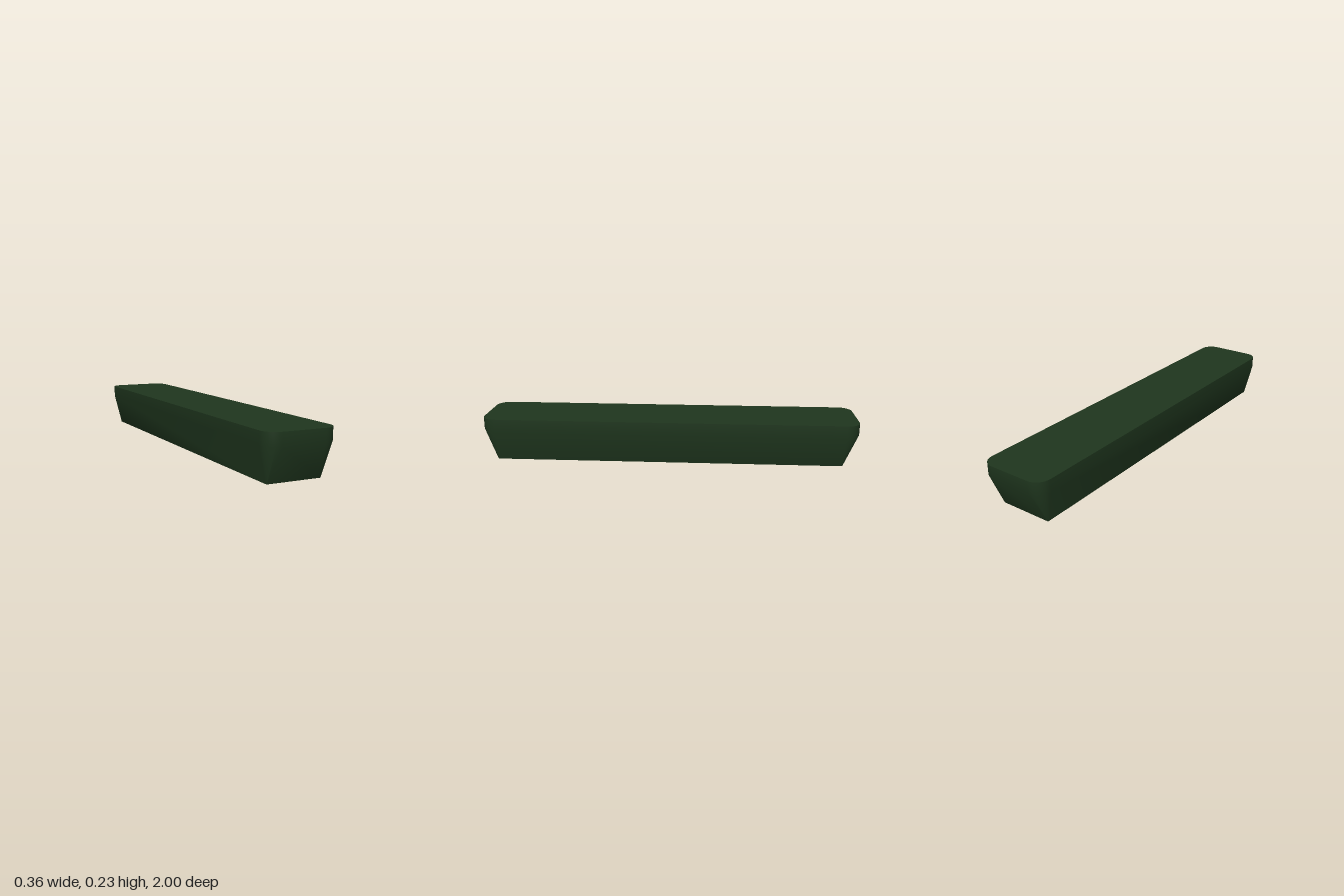
import * as THREE from 'three';
import { toCreasedNormals } from 'three/addons/utils/BufferGeometryUtils.js';

const CORNER_STEPS = 8;

// Rounded rectangle of half sizes hx, hz and corner radius r at height y
function ring(hx, hz, r, y, cx = 0, cz = 0) {
  const points = [];
  [[1, 1], [-1, 1], [-1, -1], [1, -1]].forEach(([sx, sz], corner) => {
    for (let i = 0; i <= CORNER_STEPS; i++) {
      const a = (corner + i / CORNER_STEPS) * Math.PI / 2;
      points.push([cx + sx * (hx - r) + r * Math.cos(a), y, cz + sz * (hz - r) + r * Math.sin(a)]);
    }
  });
  return points;
}

// Skin over a list of rings, capped at the first one
function loft(rings) {
  const n = rings[0].length;
  const positions = rings.flat(2);
  const index = [];
  const centre = positions.length / 3;
  positions.push(0, rings[0][0][1], 0);
  for (let j = 0; j < n; j++) {
    const k = (j + 1) % n;
    index.push(centre, k, j);
    for (let i = 0; i < rings.length - 1; i++) {
      const a = i * n + j, b = i * n + k;
      index.push(a, b, a + n, b, b + n, a + n);
    }
  }
  const geometry = new THREE.BufferGeometry();
  geometry.setAttribute('position', new THREE.Float32BufferAttribute(positions, 3));
  geometry.setIndex(index);
  return toCreasedNormals(geometry, Math.PI / 4);
}

export function createModel() {
  const group = new THREE.Group();
  group.name = 'ribbedBlock';
  const material = new THREE.MeshStandardMaterial({ color: 0x1f361e });
  const cx = -0.003, cz = 0.005;

  // Body: upright rim, tapered sides, thin lip and shallow recess underneath
  const body = new THREE.Mesh(loft([
    ring(0.18, 1, 0.07, 0.235),
    ring(0.18, 1, 0.07, 0.173),
    ring(0.139, 0.928, 0.003, 0, cx, cz),
    ring(0.135, 0.924, 0.002, 0, cx, cz),
    ring(0.135, 0.924, 0.002, 0.05, cx, cz),
  ]), material);
  body.name = 'body';
  group.add(body);

  // Sawtooth ribs across the recess
  const teeth = 21, half = 0.924, width = 0.27, step = 2 * half / teeth;
  const profile = new THREE.Shape();
  profile.moveTo(-half, 0.055);
  for (let i = 0; i < teeth; i++) {
    const z = -half + i * step;
    profile.lineTo(z, 0.005);
    profile.lineTo(z + step, 0.042);
  }
  profile.lineTo(half, 0.055);
  const ribGeometry = new THREE.ExtrudeGeometry(profile, { depth: width, bevelEnabled: false });
  ribGeometry.rotateY(-Math.PI / 2).translate(cx + width / 2, 0, cz);
  const ribs = new THREE.Mesh(ribGeometry, material);
  ribs.name = 'undersideRibs';
  group.add(ribs);

  return group;
}
